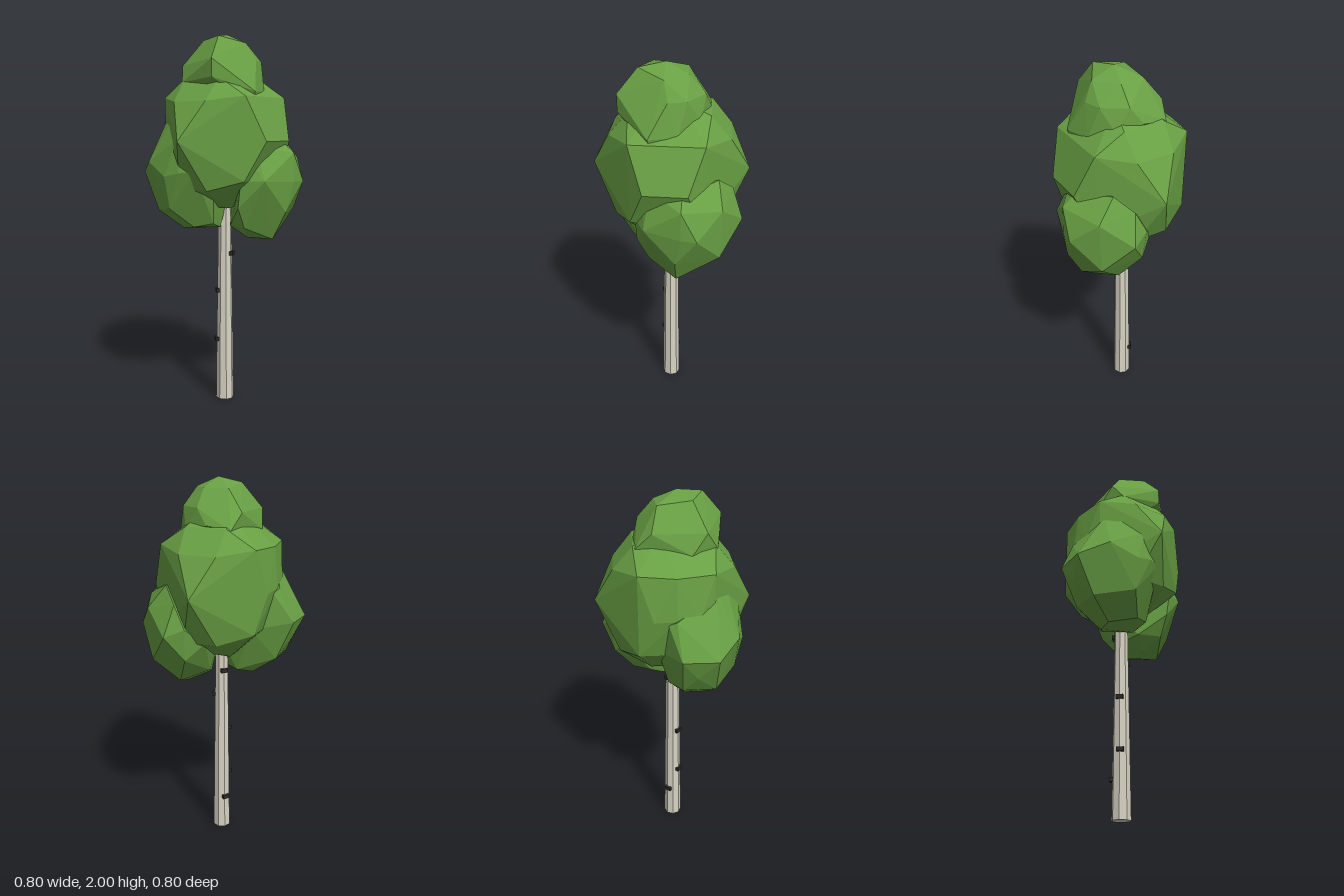
import * as THREE from 'three';
import { ConvexGeometry } from 'three/addons/geometries/ConvexGeometry.js';

const mat = (name, color) => {
  const m = new THREE.MeshStandardMaterial({ color, flatShading: true });
  m.name = name;
  return m;
};

export function createModel() {
  const leaf = mat('leaf green', 0x69a044);
  const bark = mat('pale bark', 0xd8d3c4);
  const dark = mat('dark bark', 0x2b2a28);
  const tree = new THREE.Group();
  tree.name = 'tree';

  const add = (name, geometry, material) => {
    const mesh = new THREE.Mesh(geometry, material);
    mesh.name = name;
    tree.add(mesh);
    return mesh;
  };
  // Faceted clump of leaves stretched over a few corner points
  const clump = (name, pts) =>
    add(name, new ConvexGeometry(pts.map((p) => new THREE.Vector3(...p))), leaf);

  // Tapered trunk
  add('trunk', new THREE.CylinderGeometry(0.033, 0.05, 1.3, 8), bark).position.set(0.003, 0.65, 0);

  // Dark bark marks: height, direction x, direction z
  for (const [y, dx, dz] of [
    [0.2, -0.8, -0.6], [0.345, -0.65, 0.76], [0.625, -0.7, 0.7],
    [0.835, 1, -0.3], [0.98, -0.7, -0.7],
  ]) {
    const r = 0.05 - 0.013 * y;
    const mark = add('barkMark', new THREE.BoxGeometry(0.038, 0.022, 0.02), dark);
    mark.position.set(0.003 + dx * r, y, dz * r);
    mark.rotation.y = Math.atan2(dx, dz);
  }

  // Large middle clump, mirrored in x and z, with a fuller right shoulder
  const middle = [[-0.29, 1.67, 0], [-0.31, 1.46, 0]];
  for (const [x, y, z] of [
    [0, 1.45, 0.4], [0.1, 1.65, 0.3], [0.26, 1.675, 0.185], [0.318, 1.45, 0.11],
    [0.255, 1.25, 0.185], [0.09, 1.2, 0.28], [0.11, 1.77, 0.2], [0.08, 1.83, 0.06],
    [0.1, 1.1, 0.12],
  ]) {
    for (const sx of [-1, 1]) for (const sz of [-1, 1]) {
      middle.push([x * sx + (x > 0.3 ? 0.02 : 0), y, z * sz]);
    }
  }
  clump('middleLeaves', middle);

  // Small crown
  clump('topLeaves', [
    [0.03, 2, 0.02], [-0.07, 1.97, 0.09], [0.07, 1.98, 0.15], [0.15, 1.95, 0.02],
    [0.06, 1.95, -0.09], [-0.07, 1.95, -0.08], [-0.155, 1.84, -0.11], [-0.16, 1.84, 0.155],
    [-0.12, 1.75, 0.21], [0.1, 1.86, 0.25], [0.1, 1.77, 0.25], [0.2, 1.86, 0],
    [0.175, 1.86, -0.09], [0.06, 1.86, -0.17], [0, 1.78, -0.195], [-0.13, 1.76, -0.19],
    [0.13, 1.75, -0.155], [0.255, 1.7, 0.09], [-0.19, 1.74, 0.08], [0.22, 1.7, -0.05],
    [0.24, 1.63, 0.07], [-0.1, 1.63, 0.05], [0.08, 1.6, -0.08], [-0.1, 1.67, -0.15],
    [0, 1.69, 0.2],
  ]);

  // Lower clump on the front right
  clump('frontLeaves', [
    [-0.235, 1.57, 0.19], [-0.32, 1.46, 0], [-0.06, 1.46, 0.33], [-0.16, 1.54, 0.26],
    [-0.4, 1.28, 0.2], [-0.395, 1.28, 0.02], [-0.27, 1.34, 0.31], [-0.125, 1.27, 0.355],
    [-0.04, 1.29, 0.345], [0.04, 1.3, 0.31], [0.075, 1.18, 0.2], [-0.36, 1.17, 0.1],
    [-0.3, 1.07, 0.2], [-0.3, 1.07, 0.03], [-0.12, 1.1, 0.32], [-0.04, 1, 0.22],
    [-0.17, 0.975, 0.14], [-0.16, 0.97, 0.05], [0.05, 1.02, 0.17], [0.03, 0.99, 0.08],
    [-0.1, 1, -0.03], [-0.2, 1.25, -0.09], [0, 1.2, -0.06], [-0.3, 1.44, -0.04],
    [-0.2, 1.42, -0.08],
  ]);

  // Lower clump on the back left
  clump('backLeaves', [
    [0.385, 1.39, -0.08], [0.398, 1.24, -0.16], [0.39, 1.24, -0.08], [0.33, 1.25, 0.11],
    [0.36, 1.08, -0.05], [0.28, 0.93, -0.05], [0.16, 0.92, -0.08], [0.04, 0.98, -0.05],
    [0.15, 0.935, 0], [0.2, 1, 0.1], [0.08, 1, 0.06], [0.2, 1.11, 0.16], [0.22, 1.25, 0.165],
    [0.22, 1.38, 0.12], [0.25, 1.43, 0.08], [0.32, 1.44, -0.08], [0.155, 1.24, -0.375],
    [0.295, 1.36, -0.275], [0.2, 1.48, -0.25], [0.12, 1.4, -0.32], [0.06, 1.28, -0.33],
    [0.15, 0.96, -0.21], [0.28, 1.08, -0.27], [0.07, 1.11, -0.31], [0.02, 1.01, -0.12],
    [-0.02, 1.2, -0.25], [-0.02, 1.15, -0.1],
  ]);

  return tree;
}
